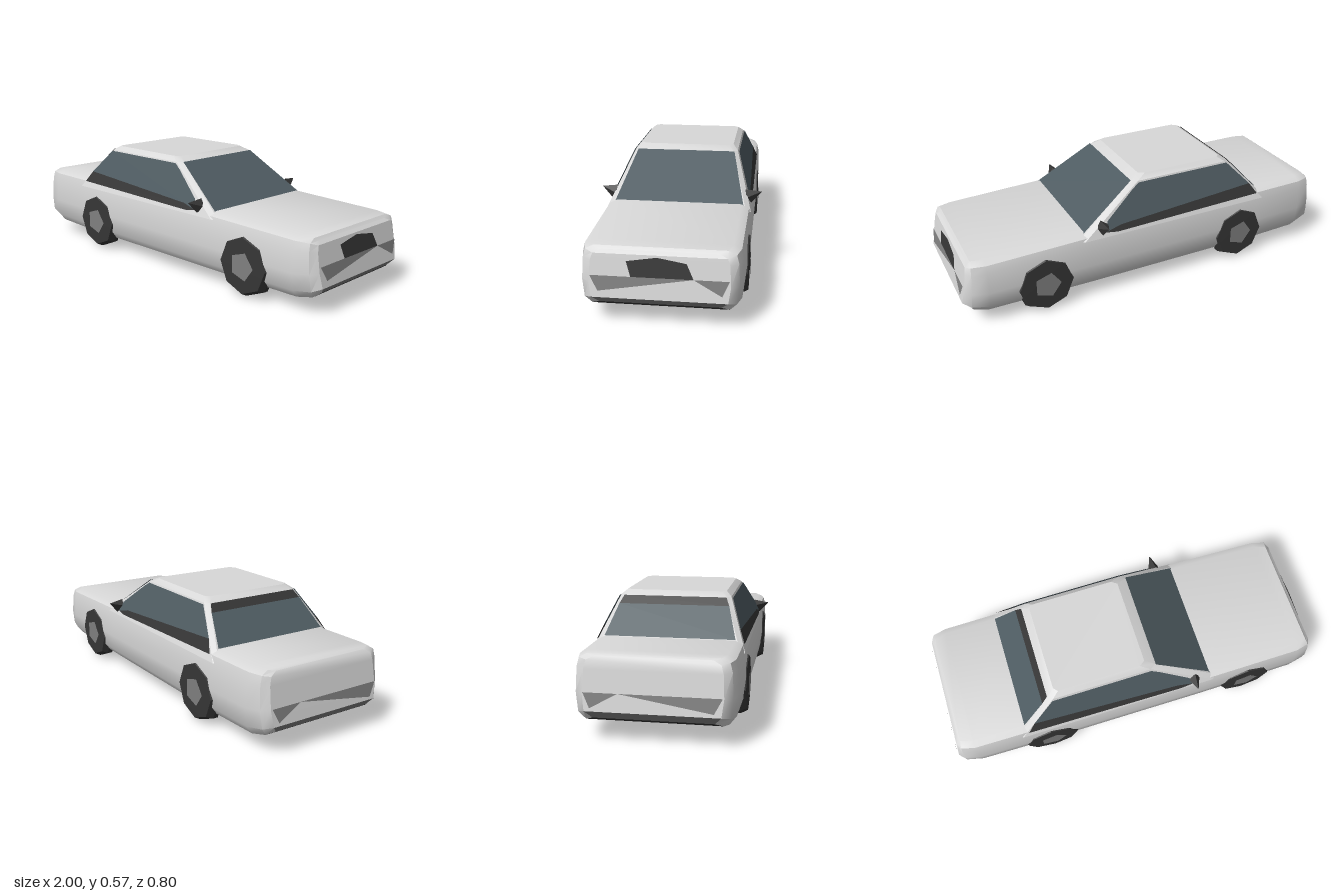
import * as THREE from 'three';
import { toCreasedNormals } from 'three/addons/utils/BufferGeometryUtils.js';

const mat = (name, color, side = THREE.DoubleSide) => {
  const m = new THREE.MeshStandardMaterial({ color, side });
  m.name = name;
  return m;
};

// Mesh from a list of triangles, each made of three [x, y, z] corners
function triMesh(name, tris, material, crease = 0.6) {
  const g = new THREE.BufferGeometry();
  g.setAttribute('position', new THREE.Float32BufferAttribute(tris.flat(2), 3));
  const mesh = new THREE.Mesh(toCreasedNormals(g, crease), material);
  mesh.name = name;
  return mesh;
}

const quad = (a, b, c, d) => [[a, b, c], [a, c, d]];
const fan = (p) => p.slice(2).map((c, i) => [p[0], p[i + 1], c]);

// Triangles between closed rings, limited to the segments that pass the test
function loft(rings, keep = () => true) {
  const out = [];
  for (let r = 0; r + 1 < rings.length; r++) {
    const a = rings[r], b = rings[r + 1], n = a.length;
    for (let i = 0; i < n; i++) {
      if (keep(i)) out.push(...quad(a[i], b[i], b[(i + 1) % n], a[(i + 1) % n]));
    }
  }
  return out;
}

export function createModel() {
  const car = new THREE.Group();
  car.name = 'car';
  const paint = mat('body paint', 0xd8d8d8);
  const glass = mat('glass', 0x4f5c62);
  const black = mat('black trim', 0x363636);
  const grey = mat('grey trim', 0x808080);

  // Lower body: stations along x as [x, half width, bottom, top, end lean]
  const stations = [
    [-1.0, 0.30, 0.11, 0.375, 1], [-0.965, 0.335, 0.095, 0.382, 0.5],
    [-0.88, 0.352, 0.078, 0.382, 0], [-0.6, 0.355, 0.07, 0.38, 0],
    [0.36, 0.358, 0.07, 0.362, 0], [0.88, 0.352, 0.07, 0.346, 0],
    [0.965, 0.335, 0.082, 0.343, 0.5], [1.0, 0.30, 0.1, 0.33, 1],
  ];
  const inset = [0.04, 0.01, 0, 0.005, 0.015, 0.05];
  const height = [0, 0.13, 0.42, 0.8, 0.94, 1];
  const lean = [0.025, 0, 0.012, 0.028, 0.034, 0.048];
  const rings = stations.map(([x, w, yb, yt, k]) => {
    const half = inset.map((d, j) =>
      [x - Math.sign(x) * k * lean[j], yb + (yt - yb) * height[j], w - d]);
    return [...half, ...half.map(([a, b, c]) => [a, b, -c]).reverse()];
  });
  car.add(triMesh('bodyShell', loft(rings, (i) => i !== 11), paint, 0.7));
  car.add(triMesh('underside', loft(rings, (i) => i === 11), black));

  // Nose and tail panels, with a bumper row at the bottom
  const front = rings[rings.length - 1], rear = rings[0];
  const panel = (ring, flip, from, to) => {
    const out = [];
    for (let j = from; j < to; j++) {
      const q = [ring[11 - j], ring[10 - j], ring[j + 1], ring[j]];
      out.push(...quad(...(flip ? q.reverse() : q)));
    }
    return out;
  };
  for (const [name, ring, flip] of [['nose', front, false], ['tail', rear, true]]) {
    car.add(triMesh(name + 'Panel', panel(ring, flip, 1, 5), paint));
    car.add(triMesh(name + 'Bumper', panel(ring, flip, 0, 1), grey));
  }

  // Plates lying on the nose and tail, given as [z, y]
  const onEnd = (ring) => ([z, y]) => {
    let j = 0;
    while (j < 4 && ring[j + 1][1] < y) j++;
    const t = (y - ring[j][1]) / (ring[j + 1][1] - ring[j][1]);
    const x = ring[j][0] + t * (ring[j + 1][0] - ring[j][0]);
    return [x + Math.sign(x) * 0.006, y, z];
  };
  const grille = [[0.12, 0.225], [-0.145, 0.225], [-0.115, 0.29], [0.01, 0.31], [0.14, 0.29]];
  car.add(triMesh('grille', fan(grille.map(onEnd(front))), black));
  for (const [name, ring] of [['front', front], ['rear', rear]]) {
    const wedges = [
      [[0.295, 0.225], [-0.145, 0.225], [0.26, 0.16]],
      [[-0.145, 0.225], [-0.295, 0.225], [-0.265, 0.16]],
    ];
    car.add(triMesh(name + 'Lamps', wedges.map((w) => w.map(onEnd(ring))), grey));
  }

  // Cabin: levels as [y, front x, rear x, half width]
  const levels = [[0.33, 0.425, -0.655, 0.352], [0.55, 0.1, -0.455, 0.266], [0.572, 0.05, -0.42, 0.24]];
  const cabin = levels.map(([y, f, r, w]) => {
    const half = [[f, y, w - 0.02], [f - 0.03, y, w], [r + 0.02, y, w], [r, y, w - 0.02]];
    return [...half, ...half.map(([a, b, c]) => [a, b, -c]).reverse()];
  });
  car.add(triMesh('cabin', loft(cabin), paint, 0.4));
  car.add(triMesh('roof', fan([...cabin[2]].reverse()), paint));

  // Glass and trim plates lying on the cabin planes
  const at = (y, k) => levels[0][k] + (levels[1][k] - levels[0][k]) * (y - 0.33) / 0.22;
  const across = (name, k, y0, w0, y1, w1, material) => {
    const p = (y, z) => [at(y, k) + (k === 1 ? 0.005 : -0.005), y, z];
    car.add(triMesh(name, quad(p(y0, w0), p(y0, -w0), p(y1, -w1), p(y1, w1)), material));
  };
  across('windscreen', 1, 0.358, 0.315, 0.552, 0.25, glass);
  across('rearWindow', 2, 0.383, 0.305, 0.515, 0.262, glass);
  across('rearWindowBand', 2, 0.515, 0.262, 0.55, 0.245, black);

  const sideGlass = [[-0.44, 0.545], [0.07, 0.545], [0.11, 0.52], [0.265, 0.405],
    [0.285, 0.355], [0.2, 0.375], [-0.56, 0.42]];
  const sideTrim = [[-0.6, 0.362], [-0.56, 0.42], [0.2, 0.375], [0.285, 0.355], [0.22, 0.346]];

  // Wheel profile from the inner face to the outer face
  const wheelProfile = [[0, 0.23], [0.08, 0.235], [0.152, 0.3], [0.152, 0.325], [0.135, 0.358], [0, 0.36]]
    .map(([r, d]) => new THREE.Vector2(r, d));
  const wheelGeo = toCreasedNormals(new THREE.LatheGeometry(wheelProfile, 8), 0.3);

  for (const s of [1, -1]) {
    const side = s > 0 ? 'near' : 'far';
    const onSide = ([x, y]) => [x, y, s * (at(y, 3) + 0.006)];
    car.add(triMesh(side + 'SideWindow', fan(sideGlass.map(onSide)), glass));
    car.add(triMesh(side + 'WindowTrim', fan(sideTrim.map(onSide)), black));

    // Door mirror: a small pointed wedge
    const tip = [0.29, 0.4, s * 0.4];
    const base = [[0.26, 0.385, s * 0.325], [0.3, 0.412, s * 0.32], [0.325, 0.375, s * 0.325], [0.3, 0.345, s * 0.35]];
    const mirror = base.map((p, i) => [p, base[(i + 1) % 4], tip]);
    car.add(triMesh(side + 'Mirror', mirror, black, 0.1));

    // Wheels with faceted hubs
    for (const [name, x] of [['Front', 0.6], ['Rear', -0.495]]) {
      const wheel = new THREE.Group();
      wheel.name = side + name + 'Wheel';
      const tyre = new THREE.Mesh(wheelGeo, black);
      tyre.name = 'tyre';
      tyre.rotation.x = s * Math.PI / 2;
      const hub = new THREE.Mesh(new THREE.CircleGeometry(0.07, 5), grey);
      hub.name = 'hub';
      hub.position.z = s * 0.364;
      hub.rotation.y = s > 0 ? 0 : Math.PI;
      wheel.add(tyre, hub);
      wheel.position.set(x, 0.152, 0);
      car.add(wheel);
    }
  }
  return car;
}
